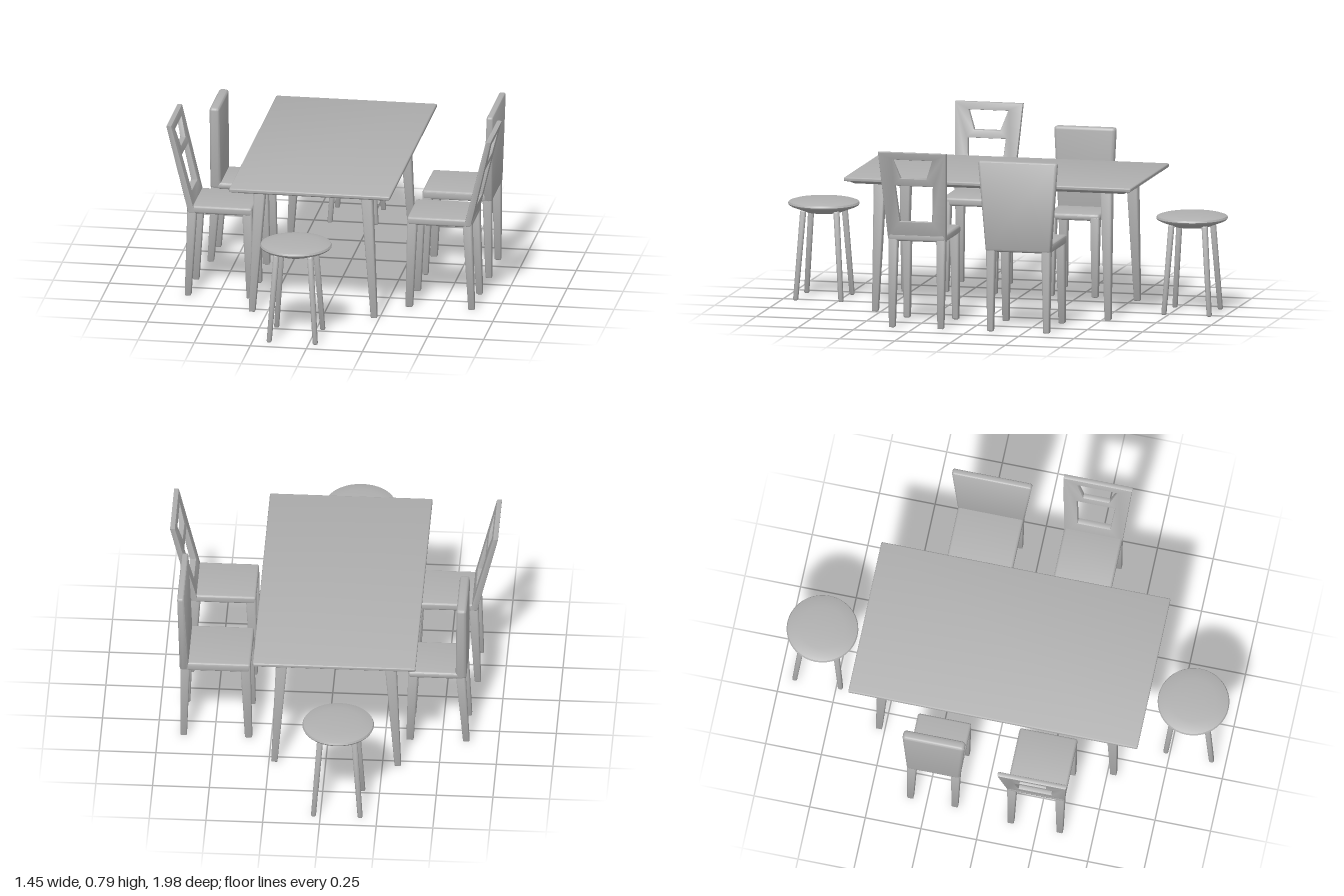
import * as THREE from 'three';
import { RoundedBoxGeometry } from 'three/addons/geometries/RoundedBoxGeometry.js';
import { toCreasedNormals } from 'three/addons/utils/BufferGeometryUtils.js';

const grey = new THREE.MeshStandardMaterial({ color: 0xb0b0b0 });
grey.name = 'grey';

function add(parent, name, geometry) {
  const mesh = new THREE.Mesh(geometry, grey);
  mesh.name = name;
  parent.add(mesh);
  return mesh;
}

// Rounded block running from a bottom rectangle to a top one, each [x0, x1, z0, z1]
function taper(y0, y1, bottom, top, radius = 0.006) {
  const w = (bottom[1] - bottom[0] + top[1] - top[0]) / 2;
  const d = (bottom[3] - bottom[2] + top[3] - top[2]) / 2;
  const h = y1 - y0;
  const geo = new RoundedBoxGeometry(w, h, d, 2, radius);
  const p = geo.attributes.position;
  const mix = THREE.MathUtils.lerp;
  for (let i = 0; i < p.count; i++) {
    const u = p.getX(i) / w + 0.5, t = p.getY(i) / h + 0.5, v = p.getZ(i) / d + 0.5;
    p.setXYZ(i,
      mix(mix(bottom[0], top[0], t), mix(bottom[1], top[1], t), u),
      mix(y0, y1, t),
      mix(mix(bottom[2], top[2], t), mix(bottom[3], top[3], t), v));
  }
  geo.deleteAttribute('uv');
  geo.clearGroups();
  return toCreasedNormals(geo, 0.6);
}

// Centred rectangle for taper()
const rect = (x, z, hx, hz = hx) => [x - hx, x + hx, z - hz, z + hz];

function createTable() {
  const table = new THREE.Group();
  table.name = 'table';
  add(table, 'tableTop', taper(0.587, 0.605, [-0.402, 0.315, -0.65, 0.65], [-0.402, 0.315, -0.65, 0.65]));
  add(table, 'tableUnderside', taper(0.573, 0.592, [-0.362, 0.275, -0.61, 0.61], [-0.395, 0.308, -0.643, 0.643], 0.002));
  for (const sx of [-1, 1]) for (const sz of [-1, 1]) {
    const cx = -0.046;
    add(table, 'tableLeg', taper(0, 0.58,
      rect(cx + sx * 0.272, sz * 0.527, 0.014), rect(cx + sx * 0.237, sz * 0.513, 0.026)));
  }
  return table;
}

function createStool(z) {
  const stool = new THREE.Group();
  stool.name = 'stool';
  stool.position.set(-0.073, 0, z);
  // Domed cushion with a conical underside
  const profile = [[0, 0.385], [0.08, 0.385], [0.09, 0.389], [0.145, 0.41], [0.155, 0.416], [0.158, 0.422],
    [0.154, 0.43], [0.135, 0.436], [0.1, 0.441], [0.05, 0.444], [0, 0.445]];
  add(stool, 'stoolSeat', toCreasedNormals(
    new THREE.LatheGeometry(profile.map(([x, y]) => new THREE.Vector2(x, y)), 40), 0.6));
  for (const sx of [-1, 1]) for (const sz of [-1, 1]) {
    add(stool, 'stoolLeg', taper(0, 0.4,
      rect(sx * 0.103, sz * 0.103, 0.011), rect(sx * 0.075, sz * 0.075, 0.013), 0.008));
  }
  return stool;
}

// Leaning back frame with two openings
function openBack() {
  const quad = (C, y0, w0, y1, w1) => {
    const s = new C();
    s.moveTo(-w0, y0);
    s.lineTo(w0, y0);
    s.lineTo(w1, y1);
    s.lineTo(-w1, y1);
    s.closePath();
    return s;
  };
  const shape = quad(THREE.Shape, 0.396, 0.127, 0.789, 0.15);
  shape.holes.push(quad(THREE.Path, 0.67, 0.062, 0.763, 0.094));
  shape.holes.push(quad(THREE.Path, 0.47, 0.077, 0.643, 0.09));
  const b = 0.004;
  const geo = new THREE.ExtrudeGeometry(shape,
    { depth: 0.022, bevelEnabled: true, bevelSize: b, bevelThickness: b, bevelSegments: 2 });
  geo.rotateY(Math.PI / 2);
  const p = geo.attributes.position;
  for (let i = 0; i < p.count; i++) {
    const t = (p.getY(i) - 0.4) / 0.39;
    const thin = 1 - 0.25 * t;
    p.setX(i, p.getX(i) * thin - 0.628 - 0.092 * t);
  }
  geo.deleteAttribute('uv');
  geo.clearGroups();
  return toCreasedNormals(geo, 0.6);
}

// Chairs face +x; those on the other side of the table are turned round
function createChair(name, z, turned, o) {
  const chair = new THREE.Group();
  chair.name = name;
  chair.position.z = z;
  if (turned) chair.rotation.y = Math.PI;
  const seat = [o.back, o.front, -o.half, o.half];
  add(chair, 'seat', taper(o.seatY - o.thick, o.seatY, seat, seat, 0.01));
  add(chair, 'backrest', o.backrest());
  for (const s of [-1, 1]) {
    const zTop = s * (o.half - 0.022), zFoot = s * (o.half - 0.02);
    add(chair, 'frontLeg', taper(0, o.seatY - 0.01,
      rect(o.front - 0.008, zFoot, 0.016, 0.014), rect(o.front - 0.022, zTop, 0.022, 0.021)));
    add(chair, 'rearLeg', taper(0, o.seatY - 0.01,
      rect(o.rearFoot, zFoot, 0.014), rect(o.rearTop, zTop, 0.021)));
  }
  return chair;
}

export function createModel() {
  const model = new THREE.Group();
  model.name = 'diningSet';
  model.add(createTable(), createStool(0.834), createStool(-0.834));

  // Pair of chairs with pierced backs
  const open = { back: -0.635, front: -0.346, half: 0.13, seatY: 0.42, thick: 0.036,
    rearFoot: -0.632, rearTop: -0.613, backrest: openBack };
  model.add(createChair('openBackChairLeft', 0.241, false, open));
  model.add(createChair('openBackChairRight', 0.241, true, open));

  // Tall chair with a wide solid back
  model.add(createChair('tallChair', -0.222, true, {
    back: -0.65, front: -0.342, half: 0.147, seatY: 0.395, thick: 0.04, rearFoot: -0.636, rearTop: -0.63,
    backrest: () => taper(0.357, 0.76, rect(-0.633, 0, 0.02, 0.147), rect(-0.648, 0, 0.015, 0.18), 0.01),
  }));

  // Smaller chair with a thick solid back
  model.add(createChair('smallChair', -0.225, false, {
    back: -0.6, front: -0.352, half: 0.12, seatY: 0.37, thick: 0.03, rearFoot: -0.608, rearTop: -0.583,
    backrest: () => {
      const geo = taper(0.34, 0.722, rect(-0.585, 0, 0.024, 0.12), rect(-0.588, 0, 0.022, 0.14), 0.014);
      return geo;
    },
  }));
  return model;
}
